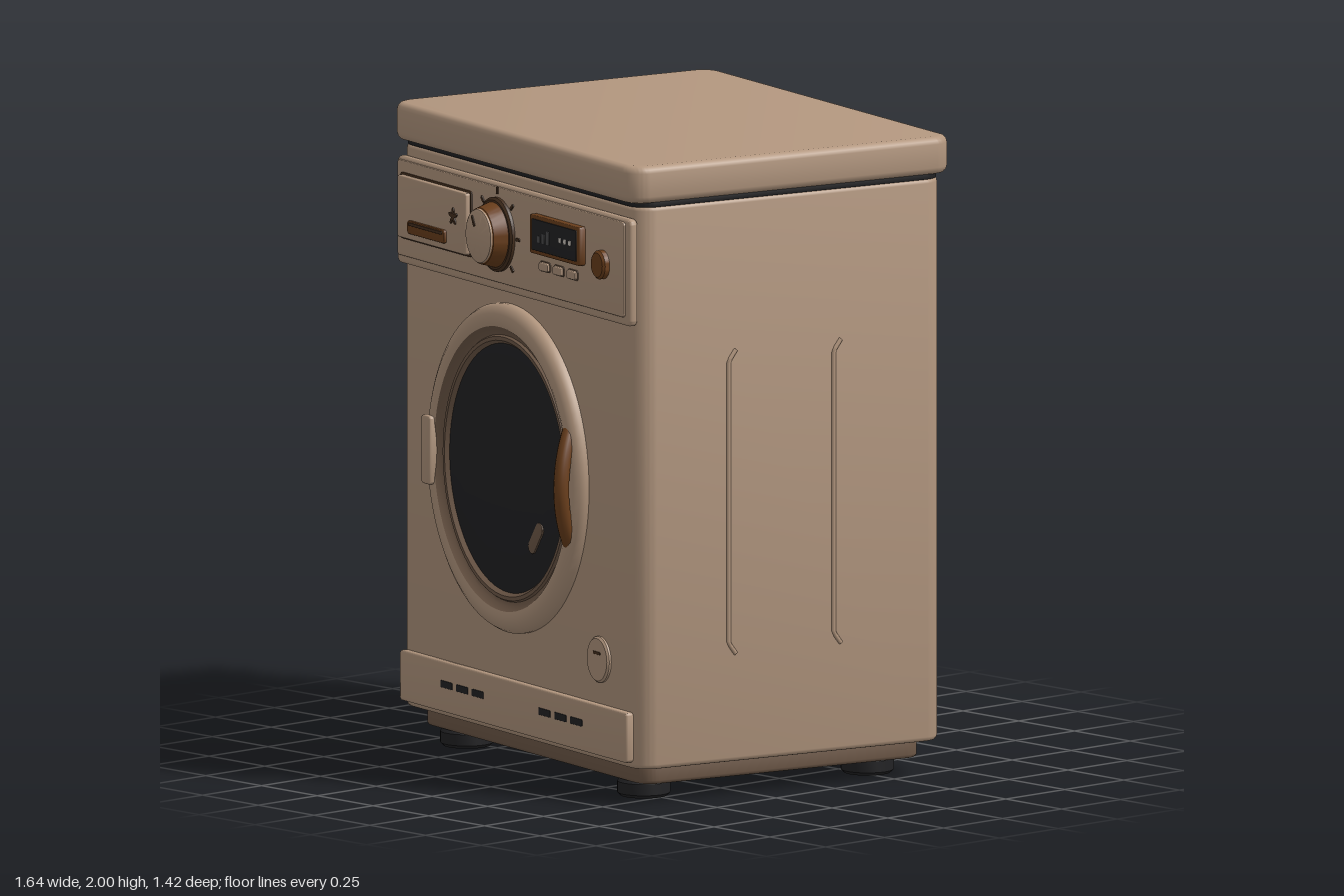
import * as THREE from 'three';
import { toCreasedNormals } from 'three/addons/utils/BufferGeometryUtils.js';

const mat = (name, color) => {
  const m = new THREE.MeshStandardMaterial({ color });
  m.name = name;
  return m;
};

export function createModel() {
  const tan = mat('tan enamel', 0xb3977f);
  const trim = mat('dark tan trim', 0x705a49);
  const brown = mat('brown', 0x6b3f1c);
  const black = mat('black', 0x222224);
  const grey = mat('display grey', 0x4c4c4e);
  const pale = mat('display pale', 0xcfc8c0);
  const umber = mat('umber marks', 0x46301f);

  const machine = new THREE.Group();
  machine.name = 'washingMachine';

  const add = (name, geo, material, x = 0, y = 0, z = 0, parent = machine) => {
    const m = new THREE.Mesh(geo, material);
    m.name = name;
    m.position.set(x, y, z);
    parent.add(m);
    return m;
  };

  // Rounded, bevelled slab facing +z, with its back at z = 0
  const slab = (w, h, d, r, b = 0.006) => {
    const x = w / 2 - b, y = h / 2 - b, q = Math.max(r - b, 0.001);
    const s = new THREE.Shape();
    s.moveTo(-x + q, -y);
    s.lineTo(x - q, -y);
    s.absarc(x - q, -y + q, q, -Math.PI / 2, 0);
    s.absarc(x - q, y - q, q, 0, Math.PI / 2);
    s.absarc(-x + q, y - q, q, Math.PI / 2, Math.PI);
    s.absarc(-x + q, -y + q, q, Math.PI, Math.PI * 1.5);
    const g = new THREE.ExtrudeGeometry(s, {
      depth: d - 2 * b, bevelSize: b, bevelThickness: b, bevelSegments: 3, curveSegments: 8,
    });
    g.translate(0, 0, b);
    return toCreasedNormals(g, 0.7);
  };
  // The same slab lying flat, from y0 to y1
  const layer = (name, w, d, y0, y1, r, b, material) =>
    add(name, slab(w, d, y1 - y0, r, b).rotateX(-Math.PI / 2), material, 0, y0, 0);

  // Turned part facing +z; profile is [radius, z], narrowed slightly in x
  const SQUASH = 0.9;
  const turned = (pts, seg = 64) => toCreasedNormals(
    new THREE.LatheGeometry(pts.map(p => new THREE.Vector2(...p)), seg)
      .rotateX(Math.PI / 2).scale(SQUASH, 1, 1), 0.6);

  // Cabinet
  layer('plinth', 1.33, 1.01, 0.055, 0.125, 0.06, 0.012, trim);
  layer('cabinet', 1.435, 1.1, 0.112, 1.872, 0.07, 0.015, tan);
  layer('lidSeam', 1.425, 1.1, 1.868, 1.89, 0.07, 0.003, black);
  layer('lid', 1.455, 1.16, 1.883, 2.0, 0.07, 0.022, tan);

  // Feet
  for (const sx of [-1, 1]) for (const sz of [-1, 1]) {
    const foot = new THREE.LatheGeometry([
      [0, 0], [0.072, 0], [0.082, 0.01], [0.082, 0.045], [0.07, 0.06],
    ].map(p => new THREE.Vector2(...p)), 32);
    add('foot', toCreasedNormals(foot, 0.6), black, sx * 0.527, 0, sz * 0.402 + 0.018);
  }

  // Pressed ribs on both sides, hooked backwards at the ends
  for (const sx of [-1, 1]) for (const z of [0.23, -0.148]) {
    const path = new THREE.CurvePath();
    const p = [[1.4, -0.026], [1.365, 0], [0.485, 0], [0.45, -0.026]]
      .map(([y, dz]) => new THREE.Vector3(0, y, dz));
    for (let i = 0; i < 3; i++) path.add(new THREE.LineCurve3(p[i], p[i + 1]));
    add('sideRib', new THREE.TubeGeometry(path, 60, 0.008, 8), tan, sx * 0.716, 0, z);
  }

  // Control panel
  const F = 0.545;
  add('controlPanel', slab(1.39, 0.335, 0.03, 0.02, 0.01), tan, 0.007, 1.667, F);
  add('controlPanelFace', slab(1.35, 0.298, 0.012, 0.012, 0.004), tan, 0, 1.675, 0.57);
  const P = 0.58;

  // Detergent drawer with grip and flower mark
  add('drawerShadowFrame', slab(0.425, 0.207, 0.006, 0.012, 0.002), umber, -0.438, 1.685, P);
  add('drawer', slab(0.412, 0.194, 0.022, 0.01), tan, -0.438, 1.685, P);
  add('drawerGrip', slab(0.222, 0.042, 0.012, 0.01, 0.004), brown, -0.456, 1.63, P + 0.02);
  add('drawerGripSlot', slab(0.2, 0.01, 0.004, 0.004, 0.001), umber, -0.456, 1.641, P + 0.031);
  const flower = new THREE.Shape();
  for (let i = 0; i <= 60; i++) {
    const a = (i / 60) * Math.PI * 2, r = 0.019 + 0.009 * Math.cos(5 * (a - Math.PI / 2));
    flower[i ? 'lineTo' : 'moveTo'](r * Math.cos(a) * SQUASH, r * Math.sin(a));
  }
  add('flowerMark', new THREE.ExtrudeGeometry(flower, { depth: 0.005, bevelEnabled: false }),
    umber, -0.305, 1.7, P + 0.021);

  // Programme dial with ticks
  const dial = new THREE.Group();
  dial.name = 'dial';
  dial.position.set(-0.075, 1.677, P);
  machine.add(dial);
  add('dialSkirt', turned([[0.116, 0], [0.116, 0.012], [0.108, 0.018], [0.09, 0.018]]), umber, 0, 0, 0, dial);
  add('dialBody', turned([[0.102, 0.016], [0.098, 0.03], [0.088, 0.064], [0.08, 0.07]]), brown, 0, 0, 0, dial);
  add('dialCap', turned([[0.085, 0.066], [0.083, 0.072], [0.076, 0.076], [0, 0.076]]), tan, 0, 0, 0, dial);
  const pointer = add('dialPointer', slab(0.01, 0.035, 0.004, 0.003, 0.001), umber, -0.022, 0.045, 0.075, dial);
  pointer.rotation.z = 0.45;
  for (let i = 0; i < 7; i++) {
    const a = -Math.PI / 4 + (i * Math.PI) / 4;
    const tick = add('dialTick', slab(0.022, 0.01, 0.006, 0.003, 0.001), umber,
      Math.cos(a) * 0.137 * SQUASH, Math.sin(a) * 0.137, 0, dial);
    tick.rotation.z = a;
  }

  // Display, buttons and power button
  add('displayFrame', slab(0.297, 0.122, 0.024, 0.008, 0.004), brown, 0.299, 1.716, P);
  add('displayScreen', slab(0.266, 0.097, 0.006, 0.004, 0.001), black, 0.299, 1.716, P + 0.021);
  [0.02, 0.03, 0.042].forEach((h, i) =>
    add('displayBar', slab(0.016, h, 0.003, 0.001, 0.0005), grey, 0.212 + i * 0.026, 1.695 + h / 2, P + 0.026));
  for (let i = 0; i < 3; i++) {
    add('displayDot', slab(0.014, 0.016, 0.003, 0.005, 0.0005), pale, 0.338 + i * 0.029, 1.72, P + 0.026);
    add('optionButtonRim', slab(0.06, 0.033, 0.005, 0.01, 0.001), trim, 0.212 + i * 0.082, 1.617, P);
    add('optionButton', slab(0.053, 0.027, 0.014, 0.009, 0.004), tan, 0.212 + i * 0.082, 1.617, P);
  }
  add('powerButton', turned([[0.045, 0], [0.045, 0.018], [0.038, 0.025], [0, 0.027]], 32), brown, 0.552, 1.675, P);

  // Door: rim, recess, glass, glare, handle and hinge
  const door = new THREE.Group();
  door.name = 'door';
  door.position.set(-0.045, 0.948, F);
  machine.add(door);
  add('doorRim', turned([[0.513, 0], [0.513, 0.018], [0.503, 0.034], [0.483, 0.046],
    [0.46, 0.05], [0.443, 0.044]], 80), tan, 0, 0, 0, door);
  add('doorRecess', turned([[0.443, 0.044], [0.428, 0.028], [0.415, 0.022], [0.41, 0.03],
    [0.398, 0.03], [0.384, 0.012]], 80), trim, 0, 0, 0, door);
  add('doorGlass', turned([[0.392, 0.016], [0.37, 0.022], [0.28, 0.032], [0.15, 0.039], [0, 0.042]], 80),
    black, 0, 0, 0, door);
  const glare = add('glassGlare', slab(0.115, 0.042, 0.006, 0.021, 0.001), trim, 0.19, -0.19, 0.029, door);
  glare.rotation.z = 0.95;
  const arc = [];
  for (let i = 0; i <= 12; i++) {
    const t = i / 6 - 1, a = t * 0.38;
    arc.push(new THREE.Vector3(Math.cos(a) * 0.463 * SQUASH, Math.sin(a) * 0.463, 0.03 + 0.048 * (1 - t * t)));
  }
  add('doorHandle', new THREE.TubeGeometry(new THREE.CatmullRomCurve3(arc), 40, 0.024, 14), brown, 0, 0, 0, door);
  for (const i of [0, 12]) {
    add('handleEnd', new THREE.SphereGeometry(0.024, 14, 10), brown, ...arc[i].toArray(), door);
  }
  add('doorHinge', slab(0.055, 0.215, 0.062, 0.012), tan, -0.42, 0, 0, door);

  // Drain cap
  add('drainCap', turned([[0.072, 0], [0.072, 0.012], [0.066, 0.018], [0, 0.018]], 40), tan, 0.484, 0.428, F);
  add('drainCapSlot', slab(0.042, 0.009, 0.004, 0.003, 0.001), umber, 0.484, 0.449, F + 0.016);

  // Kick panel with vents
  add('kickPanel', slab(1.352, 0.157, 0.028, 0.012), tan, 0, 0.211, F);
  for (const x of [-0.394, -0.301, -0.208, 0.19, 0.285, 0.379]) {
    add('kickVent', slab(0.07, 0.022, 0.005, 0.003, 0.001), black, x, 0.22, F + 0.025);
  }

  // The whole machine stands turned a little to one side
  machine.rotation.y = -0.2137;
  machine.position.z = -0.017;
  const model = new THREE.Group();
  model.name = 'model';
  model.add(machine);
  return model;
}
